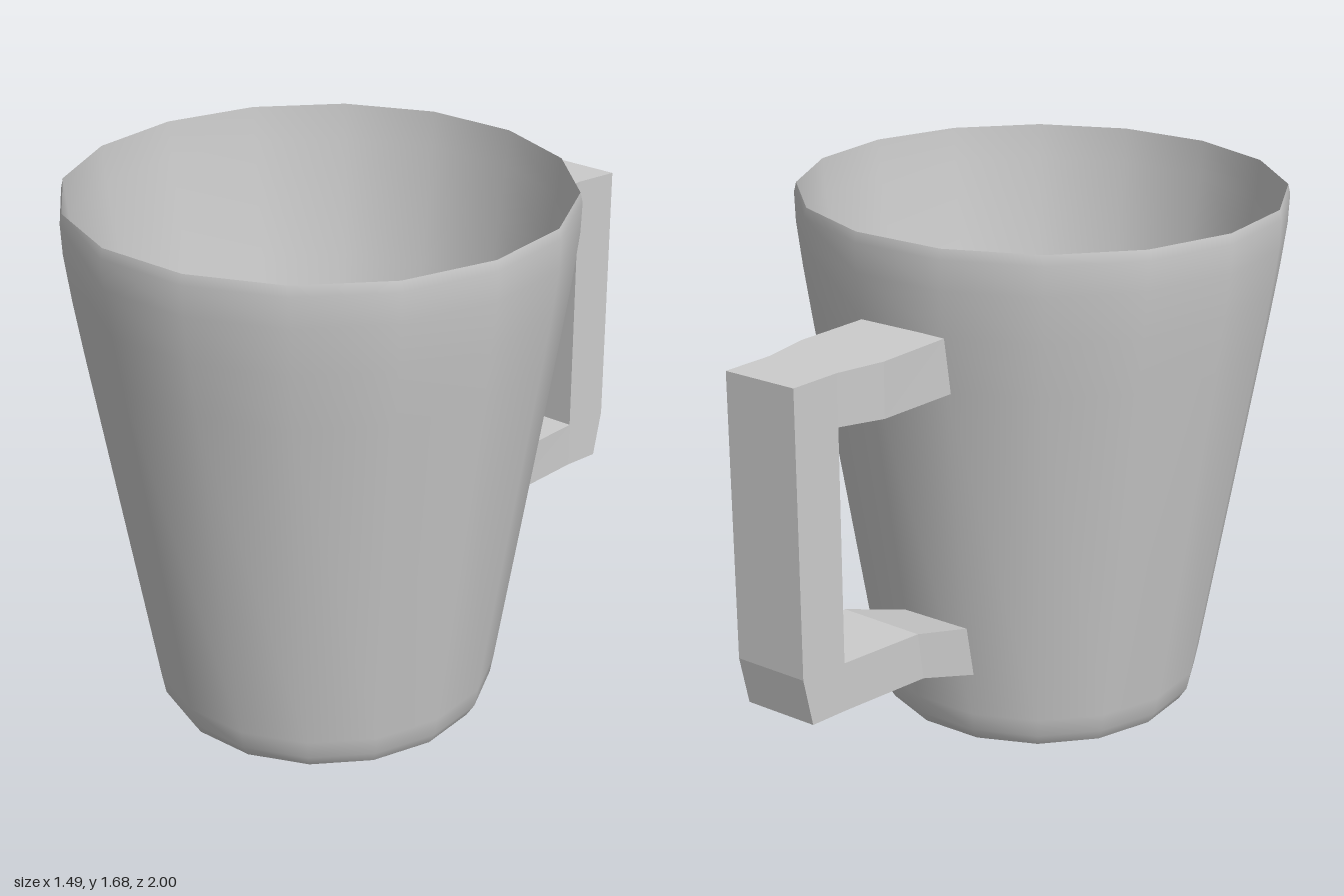
import * as THREE from 'three';

const SIDES = 16;
const CUP_Z = 0.25;

export function createModel() {
  const group = new THREE.Group();
  const material = new THREE.MeshStandardMaterial({ color: 0xcccccc });

  // Cup: one smooth lathe per surface, so the edges between them stay sharp
  const lathe = (name, profile) => {
    const points = profile.map(([r, y]) => new THREE.Vector2(r, y));
    const mesh = new THREE.Mesh(new THREE.LatheGeometry(points, SIDES), material);
    mesh.name = name;
    mesh.position.z = CUP_Z;
    group.add(mesh);
  };
  lathe('cupBase', [[0, 0], [0.3, 0.007], [0.44, 0.02], [0.49, 0.04]]);
  lathe('cupOuterWall', [
    [0.49, 0.04], [0.515, 0.08], [0.526, 0.14], [0.7, 1.25],
    [0.725, 1.42], [0.742, 1.56], [0.745, 1.65], [0.738, 1.68],
  ]);
  lathe('cupInnerWall', [
    [0.738, 1.68], [0.728, 1.57], [0.702, 1.4], [0.672, 1.2], [0.475, 0.13], [0.43, 0.06],
  ]);
  lathe('cupFloor', [[0.43, 0.06], [0, 0.06]]);

  // Handle: four-cornered sections from the upper root round to the lower root
  // [x right, x left, outer z, outer y, inner z, inner y]
  const skew = 0.043; // the handle follows the slanted wall panel
  const sections = [
    [0, -0.285, -0.465, 1.42, -0.44, 1.25],
    [-0.02, -0.31, -0.71, 1.42, -0.71, 1.255],
    [-0.05, -0.28, -0.85, 1.415, -0.85, 1.26],
    [-0.05, -0.28, -1.0, 1.41, -0.85, 1.26],
    [-0.05, -0.28, -1.0, 0.55, -0.85, 0.55],
    [-0.05, -0.28, -0.97, 0.4, -0.85, 0.55],
    [-0.05, -0.28, -0.85, 0.4, -0.85, 0.55],
    [-0.02, -0.29, -0.56, 0.4, -0.58, 0.55],
    [0, -0.22, -0.285, 0.285, -0.31, 0.45],
  ].map(([xr, xl, zo, yo, zi, yi]) => [
    [xr, yo, zo], [xl, yo, zo + skew], [xl, yi, zi + skew], [xr, yi, zi],
  ]);
  const positions = [];
  for (let i = 0; i < sections.length - 1; i++) {
    const a = sections[i], b = sections[i + 1];
    for (let k = 0; k < 4; k++) {
      const n = (k + 1) % 4;
      positions.push(...a[k], ...b[k], ...b[n], ...a[k], ...b[n], ...a[n]);
    }
  }
  const geometry = new THREE.BufferGeometry();
  geometry.setAttribute('position', new THREE.Float32BufferAttribute(positions, 3));
  geometry.computeVertexNormals();
  const handle = new THREE.Mesh(geometry, material);
  handle.name = 'handle';
  group.add(handle);

  return group;
}
